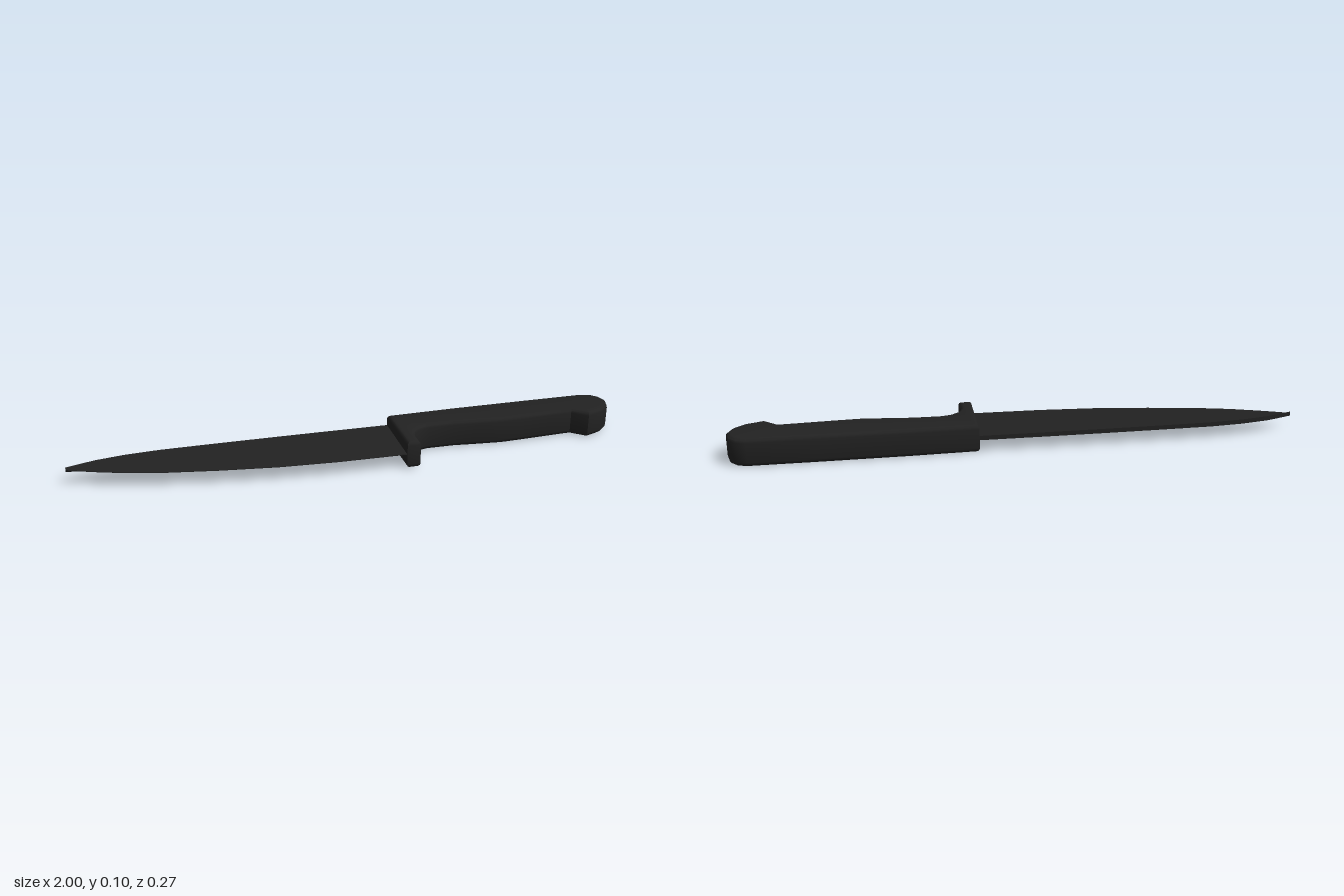
import * as THREE from 'three';
import { toCreasedNormals } from 'three/addons/utils/BufferGeometryUtils.js';

const black = new THREE.MeshStandardMaterial({ color: 0x222222 });
black.name = 'black';

// Handle: flat outline (x, z) extruded through its thickness with rounded edges
function makeHandle() {
  const outline = [
    [0.15, -0.122], [0.4, -0.131], [0.7, -0.136], [0.93, -0.138], [0.965, -0.128], [0.99, -0.1],
    [1, -0.06], [0.985, -0.018], [0.945, 0.02], [0.88, 0.045], [0.83, 0], [0.75, 0.005],
    [0.63, 0.013], [0.55, 0.017], [0.46, 0.009], [0.37, 0], [0.27, 0], [0.237, 0.01],
    [0.21, 0.033], [0.198, 0.065], [0.198, 0.135], [0.15, 0.135],
  ];
  const shape = new THREE.Shape(outline.map(([x, z]) => new THREE.Vector2(x, z)));
  const bevel = 0.015;
  const geo = new THREE.ExtrudeGeometry(shape, {
    depth: 0.1 - 2 * bevel, bevelThickness: bevel, bevelSize: bevel,
    bevelOffset: -bevel, bevelSegments: 3,
  });
  geo.rotateX(Math.PI / 2).translate(0, 0.1 - bevel, 0);
  return new THREE.Mesh(toCreasedNormals(geo, 0.65), black);
}

// Blade: wedge cross-sections, thick at the spine and thin at the cutting edge
function makeBlade() {
  const stations = [ // x, spine z, edge z
    [-1, -0.045, -0.04], [-0.95, -0.063, -0.02], [-0.9, -0.08, -0.001], [-0.8, -0.099, 0.033],
    [-0.68, -0.11, 0.062], [-0.5, -0.114, 0.092], [-0.3, -0.117, 0.117], [-0.1, -0.119, 0.128],
    [0.17, -0.12, 0.13],
  ];
  const mid = 0.052, spine = 0.008, edge = 0.001;
  const positions = [], indices = [];
  for (const [x, s, e] of stations) {
    positions.push(x, mid + spine, s, x, mid + edge, e, x, mid - edge, e, x, mid - spine, s);
  }
  for (let i = 0; i < stations.length - 1; i++) {
    for (let j = 0; j < 4; j++) {
      const a = i * 4 + j, b = i * 4 + (j + 1) % 4;
      indices.push(a, b, a + 4, b, b + 4, a + 4);
    }
  }
  const last = (stations.length - 1) * 4;
  indices.push(0, 2, 1, 0, 3, 2, last, last + 1, last + 2, last, last + 2, last + 3);
  const geo = new THREE.BufferGeometry();
  geo.setAttribute('position', new THREE.Float32BufferAttribute(positions, 3));
  geo.setIndex(indices);
  return new THREE.Mesh(toCreasedNormals(geo, 0.6), black);
}

export function createModel() {
  const knife = new THREE.Group();
  knife.name = 'knife';
  const handle = makeHandle();
  handle.name = 'handle';
  const blade = makeBlade();
  blade.name = 'blade';
  knife.add(handle, blade);
  return knife;
}
